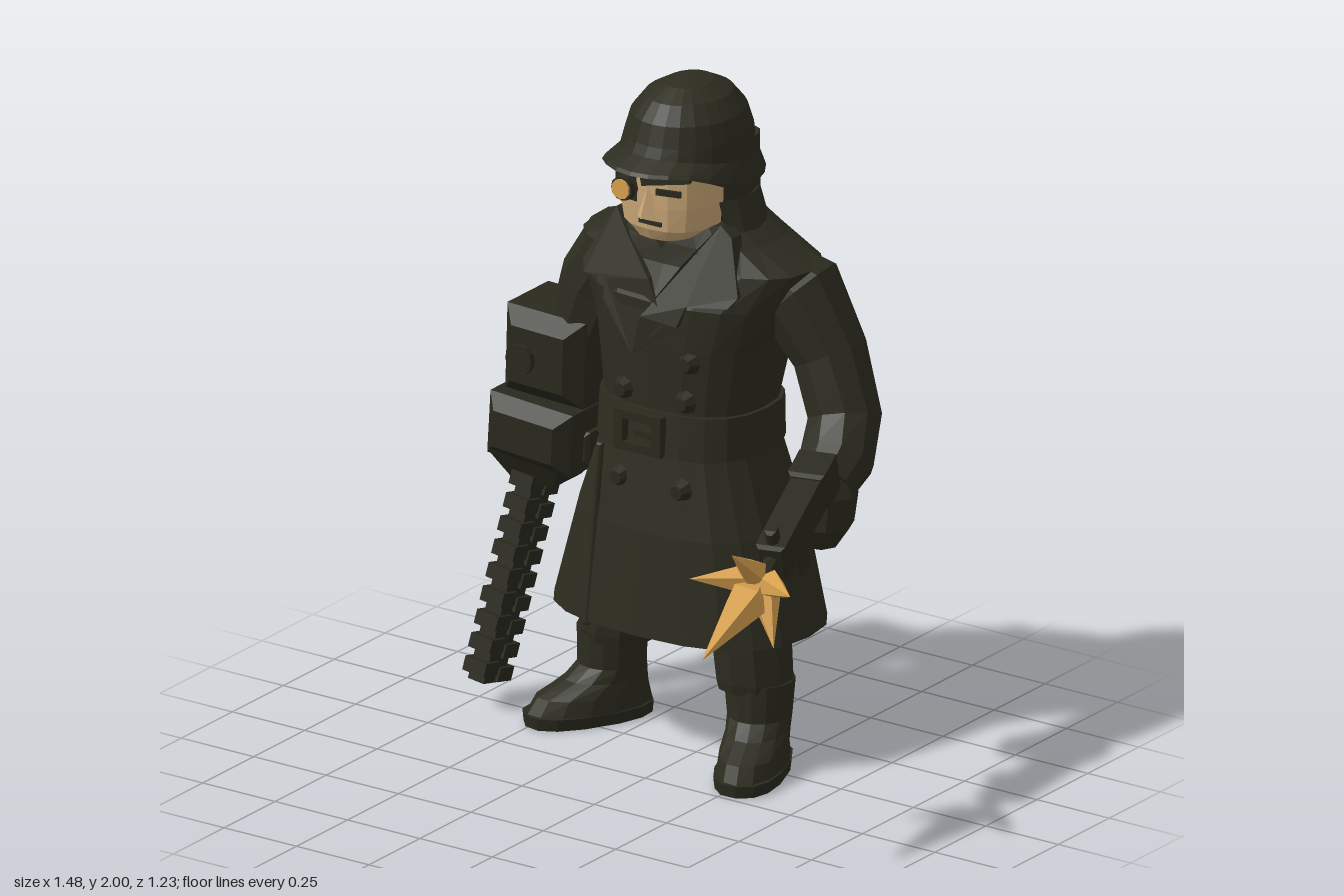
import * as THREE from 'three';

const flat = (name, color) => {
  const m = new THREE.MeshStandardMaterial({ color, flatShading: true, side: THREE.DoubleSide });
  m.name = name;
  return m;
};

export function createModel() {
  const model = new THREE.Group();
  const cloth = flat('dark olive cloth', 0x2c2c20);
  const metal = flat('dark metal', 0x29291e);
  const skin = flat('skin', 0xcba878);
  const gold = flat('gold', 0xdaa24f);

  const add = (name, geo, mat, pos = [0, 0, 0], rot = [0, 0, 0], parent = model) => {
    const mesh = new THREE.Mesh(geo, mat);
    mesh.name = name;
    mesh.position.set(...pos);
    mesh.rotation.set(...rot);
    parent.add(mesh);
    return mesh;
  };

  // Join rows of points into a surface
  const skinRows = (rows) => {
    const n = rows[0].length, pos = [], idx = [];
    rows.forEach((row) => row.forEach((p) => pos.push(p.x, p.y, p.z)));
    for (let i = 0; i < rows.length - 1; i++) for (let j = 0; j < n - 1; j++) {
      const a = i * n + j, b = a + n;
      idx.push(a, a + 1, b + 1, a, b + 1, b);
    }
    const g = new THREE.BufferGeometry();
    g.setAttribute('position', new THREE.Float32BufferAttribute(pos, 3));
    g.setIndex(idx);
    g.computeVertexNormals();
    return g;
  };

  // Horizontal rounded rings [y, cx, cz, rx, rz]; angle 0 faces front
  const loft = (rings, { n = 18, power = 2, from = 0, to = Math.PI * 2, capped = true } = {}) => {
    const list = rings.slice();
    if (capped) {
      const close = (r) => [r[0], r[1], r[2], 1e-4, 1e-4];
      list.unshift(close(rings[0]));
      list.push(close(rings[rings.length - 1]));
    }
    const bend = (v) => Math.sign(v) * Math.abs(v) ** (2 / power);
    return skinRows(list.map(([y, cx, cz, rx, rz]) => Array.from({ length: n + 1 }, (_, j) => {
      const a = from + (to - from) * j / n;
      return new THREE.Vector3(cx + rx * bend(Math.sin(a)), y, cz + rz * bend(Math.cos(a)));
    })));
  };

  // Round limb through points [x, y, z, radius]
  const limb = (pts, n = 10) => {
    const v = pts.map((p) => new THREE.Vector3(p[0], p[1], p[2]));
    const rows = v.map((c, i) => {
      const dir = v[Math.min(i + 1, v.length - 1)].clone().sub(v[Math.max(i - 1, 0)]).normalize();
      const q = new THREE.Quaternion().setFromUnitVectors(new THREE.Vector3(0, -1, 0), dir);
      return Array.from({ length: n + 1 }, (_, j) => {
        const a = -Math.PI * 2 * j / n, r = pts[i][3];
        return new THREE.Vector3(r * Math.sin(a), 0, r * Math.cos(a)).applyQuaternion(q).add(c);
      });
    });
    const cap = (c) => Array.from({ length: n + 1 }, () => c.clone());
    return skinRows([cap(v[0]), ...rows, cap(v[v.length - 1])]);
  };

  const outline = (pts) => pts.map((p) => new THREE.Vector2(...p));

  // Box with chamfered edges
  const block = (w, h, d, b) => {
    const x = w / 2 - b, y = h / 2 - b;
    const s = new THREE.Shape(outline([[-x, -y], [x, -y], [x, y], [-x, y]]));
    return new THREE.ExtrudeGeometry(s, { depth: d - 2 * b, bevelThickness: b, bevelSize: b, bevelSegments: 1 })
      .translate(0, 0, b - d / 2);
  };

  // Coat: flared skirt, waist, chest and sloping shoulders
  add('coat', loft([[0.395, -0.08, -0.335, 0.41, 0.275], [0.7, -0.078, -0.34, 0.332, 0.25],
    [0.93, -0.08, -0.34, 0.255, 0.212], [1.06, -0.08, -0.345, 0.25, 0.205], [1.25, -0.075, -0.36, 0.28, 0.228],
    [1.38, -0.075, -0.37, 0.325, 0.232], [1.48, -0.075, -0.39, 0.375, 0.195], [1.54, -0.075, -0.39, 0.25, 0.18],
    [1.6, -0.08, -0.38, 0.18, 0.15]], { n: 20, power: 2.5 }), cloth);
  add('coatOverlap', block(0.02, 0.54, 0.02, 0.006), cloth, [-0.255, 0.65, -0.108], [-0.1, 0, -0.02]);
  add('belt', loft([[0.925, -0.08, -0.34, 0.265, 0.223], [1.055, -0.08, -0.345, 0.262, 0.215]],
    { n: 20, power: 2.5 }), cloth);
  const frame = new THREE.Shape(outline([[-0.08, -0.06], [0.08, -0.06], [0.08, 0.06], [-0.08, 0.06]]));
  frame.holes.push(new THREE.Path(outline([[-0.05, -0.035], [-0.05, 0.035], [0.05, 0.035], [0.05, -0.035]])));
  add('buckle', new THREE.ExtrudeGeometry(frame, { depth: 0.03, bevelEnabled: false }), metal, [-0.1, 0.99, -0.13]);
  add('bucklePin', new THREE.BoxGeometry(0.06, 0.02, 0.02), metal, [-0.08, 0.99, -0.11]);
  for (const [x, y, z] of [[-0.175, 1.1, -0.135], [0.035, 1.1, -0.135], [0.045, 1.22, -0.14],
    [-0.175, 0.84, -0.115], [0.035, 0.84, -0.115]]) {
    add('coatButton', new THREE.CylinderGeometry(0.02, 0.036, 0.03, 8), metal, [x, y, z], [Math.PI / 2, 0, 0]);
  }

  // Lapels bent to follow the chest
  const lapel = (name, pts) => {
    const g = new THREE.ExtrudeGeometry(new THREE.Shape(outline(pts)), { depth: 0.045, bevelEnabled: false });
    const p = g.attributes.position;
    for (let i = 0; i < p.count; i++) {
      const dx = p.getX(i) + 0.08, up = Math.max(0, p.getY(i) - 1.36);
      p.setZ(i, p.getZ(i) - 0.16 - 0.7 * dx * dx - 0.5 * up);
    }
    g.computeVertexNormals();
    add(name, g, cloth);
  };
  lapel('rightLapel', [[-0.13, 1.22], [-0.02, 1.33], [-0.1, 1.44], [-0.22, 1.54], [-0.28, 1.59],
    [-0.36, 1.43], [-0.34, 1.4], [-0.25, 1.41], [-0.24, 1.36]]);
  lapel('leftLapel', [[-0.13, 1.22], [-0.1, 1.34], [0.0, 1.5], [0.08, 1.61], [0.12, 1.58],
    [0.18, 1.43], [0.16, 1.4], [0.04, 1.39], [0.02, 1.33]]);

  // Standing collar, open at the front, with scarf inside
  add('collar', loft([[1.47, -0.08, -0.38, 0.27, 0.19], [1.56, -0.085, -0.375, 0.22, 0.18],
    [1.67, -0.09, -0.375, 0.185, 0.17], [1.64, -0.09, -0.365, 0.15, 0.14]],
  { n: 14, from: 0.95, to: Math.PI * 2 - 0.95, capped: false }), cloth);
  add('scarf', loft([[1.46, -0.09, -0.34, 0.14, 0.14], [1.52, -0.09, -0.34, 0.15, 0.135],
    [1.575, -0.095, -0.34, 0.145, 0.13]], { n: 12 }), cloth);

  // Head
  add('face', loft([[1.565, -0.09, -0.28, 0.095, 0.125], [1.6, -0.09, -0.285, 0.14, 0.148],
    [1.67, -0.092, -0.285, 0.153, 0.152], [1.77, -0.095, -0.285, 0.158, 0.152], [1.81, -0.095, -0.3, 0.14, 0.13]],
  { n: 16, power: 2.4 }), skin);
  add('hair', loft([[1.56, -0.09, -0.39, 0.14, 0.115], [1.65, -0.092, -0.39, 0.165, 0.13],
    [1.82, -0.095, -0.39, 0.165, 0.13]], { n: 16, power: 4 }), cloth);
  add('nose', new THREE.ConeGeometry(0.032, 0.11, 4), skin, [-0.085, 1.695, -0.135], [-0.12, 0, 0]);
  add('mouth', new THREE.BoxGeometry(0.075, 0.012, 0.008), cloth, [-0.08, 1.622, -0.138]);
  add('eyePatch', loft([[1.68, -0.093, -0.285, 0.162, 0.16], [1.775, -0.095, -0.285, 0.168, 0.16]],
    { n: 8, power: 2.4, from: -1.6, to: -0.1, capped: false }), metal);
  add('eyepiece', new THREE.CylinderGeometry(0.036, 0.04, 0.04, 12), metal, [-0.16, 1.715, -0.13], [Math.PI / 2, 0, 0]);
  add('lens', new THREE.CylinderGeometry(0.03, 0.03, 0.008, 10), gold, [-0.16, 1.715, -0.107], [Math.PI / 2, 0, 0]);
  add('leftEye', new THREE.BoxGeometry(0.075, 0.018, 0.008), metal, [-0.015, 1.725, -0.135], [0, 0.25, 0]);
  add('leftBrow', new THREE.BoxGeometry(0.15, 0.024, 0.02), cloth, [-0.025, 1.763, -0.137], [0, 0.2, 0.18]);

  // Helmet: the rim rises toward the front
  const helmet = loft([[1.8, -0.095, -0.335, 0.165, 0.18], [1.71, -0.095, -0.325, 0.213, 0.267],
    [1.73, -0.095, -0.325, 0.208, 0.258], [1.79, -0.09, -0.338, 0.183, 0.214], [1.85, -0.088, -0.34, 0.174, 0.202],
    [1.91, -0.088, -0.34, 0.157, 0.182], [1.96, -0.088, -0.34, 0.118, 0.14], [1.99, -0.088, -0.34, 0.065, 0.08],
    [2.0, -0.088, -0.34, 0.01, 0.01]], { n: 24 });
  const hp = helmet.attributes.position;
  for (let i = 0; i < hp.count; i++) {
    const front = THREE.MathUtils.smoothstep(hp.getZ(i), -0.33, -0.1);
    hp.setY(i, hp.getY(i) + 0.075 * front * THREE.MathUtils.clamp((1.85 - hp.getY(i)) / 0.14, 0, 1));
  }
  helmet.computeVertexNormals();
  add('helmet', helmet, cloth);

  // Legs and boots, toes turned out
  for (const [side, x, z, turn, topX] of [['left', 0.205, -0.27, 0.36, 0.17], ['right', -0.375, -0.37, -0.52, -0.335]]) {
    add(side + 'Trouser', loft([[0.24, (x + topX) / 2, z, 0.108, 0.105], [0.27, (x + topX) / 2, z, 0.116, 0.112],
      [0.46, topX, z, 0.122, 0.12]], { n: 10 }), cloth);
    const boot = new THREE.Group();
    boot.name = side + 'Boot';
    boot.position.set(x, 0, z);
    boot.rotation.y = turn;
    model.add(boot);
    add('sole', loft([[0, 0, 0.075, 0.096, 0.195], [0.035, 0, 0.075, 0.1, 0.198]], { n: 14, power: 2.4 }),
      metal, [0, 0, 0], [0, 0, 0], boot);
    add('bootUpper', loft([[0.035, 0, 0.07, 0.098, 0.193], [0.08, 0, 0.06, 0.094, 0.173], [0.12, 0, 0.02, 0.09, 0.125],
      [0.16, 0, 0, 0.092, 0.1], [0.27, 0, 0, 0.102, 0.1]], { n: 14 }), cloth, [0, 0, 0], [0, 0, 0], boot);
  }

  // Right arm ends in a machine gauntlet with a toothed blade
  add('rightArm', limb([[-0.27, 1.44, -0.42, 0.1], [-0.37, 1.385, -0.43, 0.135], [-0.45, 1.27, -0.43, 0.125],
    [-0.51, 1.1, -0.42, 0.105]]), cloth);
  add('gauntletUpper', block(0.27, 0.26, 0.29, 0.045), metal, [-0.57, 1.05, -0.42], [0, 0, -0.03]);
  add('gauntletDisc', new THREE.CylinderGeometry(0.045, 0.045, 0.03, 12), metal, [-0.62, 1.045, -0.272], [Math.PI / 2, 0, 0]);
  add('gauntletLower', block(0.285, 0.19, 0.34, 0.04), metal, [-0.588, 0.825, -0.4], [0, 0, -0.06]);
  add('gauntletTaper', new THREE.CylinderGeometry(0.17, 0.1, 0.09, 4).rotateY(Math.PI / 4), metal, [-0.6, 0.71, -0.37]);
  add('gauntletKnob', block(0.05, 0.1, 0.1, 0.012), metal, [-0.455, 0.79, -0.38]);
  const blade = new THREE.Group();
  blade.name = 'toothedBlade';
  const bladeTop = new THREE.Vector3(-0.615, 0.72, -0.36), bladeTip = new THREE.Vector3(-0.7, 0.075, -0.21);
  const bladeDir = bladeTop.clone().sub(bladeTip);
  const len = bladeDir.length();
  blade.position.copy(bladeTip);
  blade.quaternion.setFromUnitVectors(new THREE.Vector3(0, 1, 0), bladeDir.normalize());
  model.add(blade);
  add('bar', new THREE.BoxGeometry(0.055, len, 0.1), metal, [0, len / 2, 0], [0, 0, 0], blade);
  for (let i = 0; i < 9; i++) for (const s of [-1, 1]) {
    add('tooth', new THREE.BoxGeometry(0.075, 0.042, 0.07), metal, [0, 0.035 + i * 0.07 + s * 0.01, s * 0.04], [0, 0, 0], blade);
  }

  // Left arm and fist
  add('leftArm', limb([[0.1, 1.45, -0.42, 0.1], [0.225, 1.385, -0.435, 0.135], [0.325, 1.22, -0.445, 0.112],
    [0.39, 1.05, -0.425, 0.11], [0.415, 0.95, -0.35, 0.11], [0.425, 0.9, -0.27, 0.09]]), cloth);
  add('leftFist', limb([[0.42, 0.95, -0.28, 0.075], [0.42, 0.88, -0.27, 0.105], [0.415, 0.79, -0.265, 0.1],
    [0.41, 0.725, -0.265, 0.06]], 8), cloth);

  // Pistol
  const gun = new THREE.Group();
  gun.name = 'pistol';
  gun.position.set(0.5, 0.895, -0.03);
  gun.lookAt(0.575, 0.8, 0.25);
  model.add(gun);
  const gunPart = (name, w, h, d, x, y, z) => add(name, block(w, h, d, 0.01), metal, [x, y, z], [0, 0, 0], gun);
  gunPart('receiver', 0.088, 0.112, 0.43, 0, 0, 0);
  gunPart('rearHousing', 0.11, 0.12, 0.12, 0, 0.01, -0.16);
  gunPart('magazine', 0.06, 0.13, 0.08, 0, -0.09, 0.04);
  gunPart('grip', 0.06, 0.16, 0.07, -0.03, -0.1, -0.17);
  gunPart('frontSight', 0.035, 0.07, 0.045, 0, 0.065, 0.18);
  add('barrel', new THREE.CylinderGeometry(0.025, 0.025, 0.14, 8), metal, [0, 0, 0.25], [Math.PI / 2, 0, 0], gun);
  add('muzzle', new THREE.CylinderGeometry(0.036, 0.036, 0.04, 8), metal, [0, 0, 0.29], [Math.PI / 2, 0, 0], gun);

  // Muzzle flash: one long spike ringed by five short ones
  const flashBase = new THREE.Vector3(0.57, 0.805, 0.235);
  for (const [x, y, z, r] of [[0.632, 0.695, 0.62, 0.062], [0.583, 0.935, 0.405, 0.043], [0.74, 0.823, 0.34, 0.043],
    [0.67, 0.645, 0.322, 0.043], [0.487, 0.65, 0.312, 0.043], [0.428, 0.825, 0.392, 0.043]]) {
    const tip = new THREE.Vector3(x, y, z), dir = tip.clone().sub(flashBase), l = dir.length();
    const profile = outline([[0.0001, 0], [r, l * 0.27], [0.0001, l]]);
    const spike = add('flashSpike', new THREE.LatheGeometry(profile, 5), gold, flashBase.toArray());
    spike.quaternion.setFromUnitVectors(new THREE.Vector3(0, 1, 0), dir.normalize());
  }
  return model;
}
